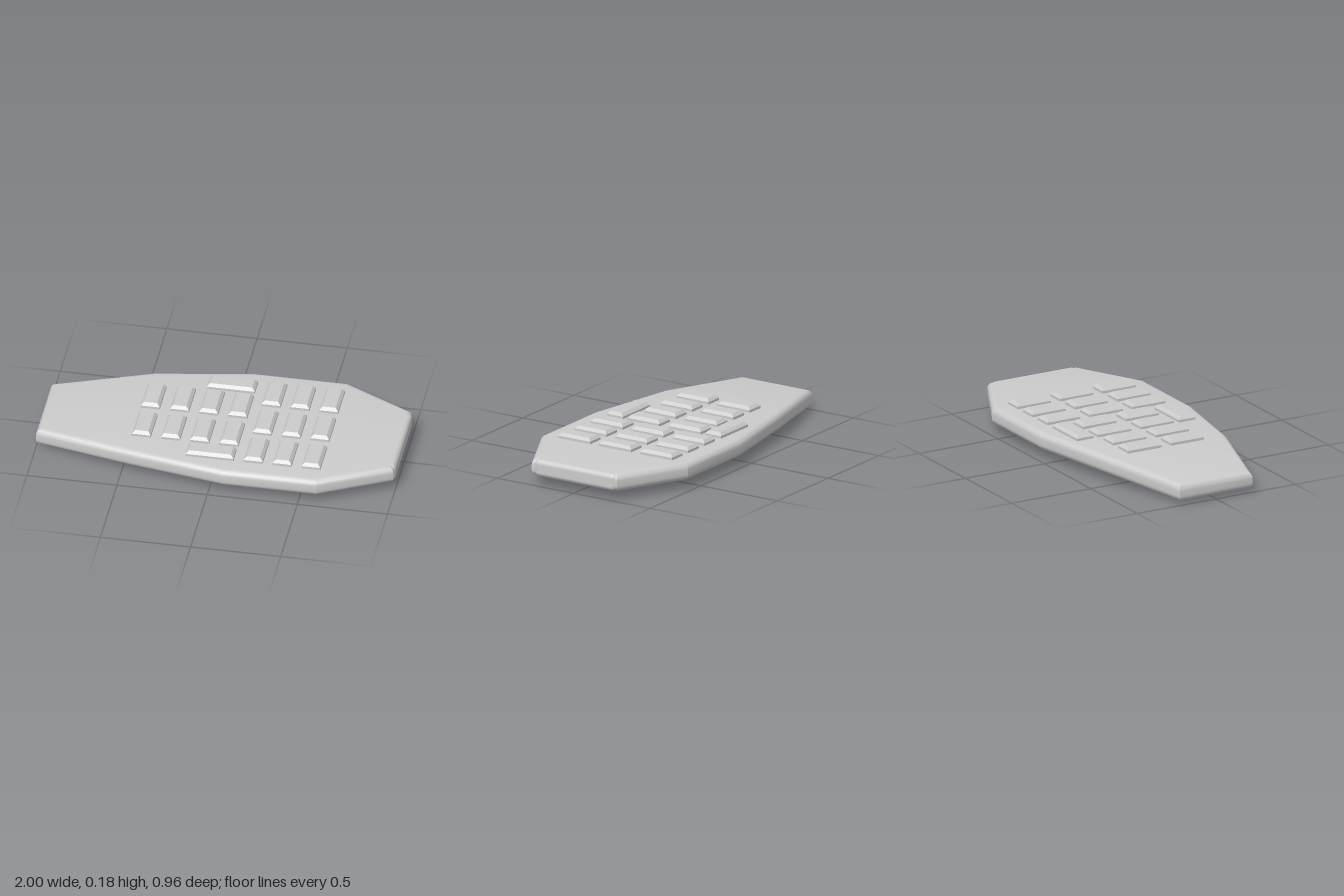
import * as THREE from 'three';
import { toCreasedNormals } from 'three/addons/utils/BufferGeometryUtils.js';
import { RoundedBoxGeometry } from 'three/addons/geometries/RoundedBoxGeometry.js';

const grey = new THREE.MeshStandardMaterial({ color: 0xcccccc });

function add(parent, name, geometry) {
  const mesh = new THREE.Mesh(geometry, grey);
  mesh.name = name;
  parent.add(mesh);
  return mesh;
}

// Half outline [x, z] mirrored across z = 0, as one counterclockwise loop
const mirrored = half => [...half, ...half.map(([x, z]) => [x, -z]).reverse()];

// Moves every side of a convex outline inwards by d, with mitred corners
function inset(outline, d) {
  const n = outline.length;
  const normal = (a, b) => {
    const dx = b[0] - a[0], dz = b[1] - a[1], l = Math.hypot(dx, dz);
    return [dz / l, -dx / l];
  };
  return outline.map((p, i) => {
    const a = normal(outline[(i + n - 1) % n], p);
    const b = normal(p, outline[(i + 1) % n]);
    const k = d / (1 + a[0] * b[0] + a[1] * b[1]);
    return [p[0] + (a[0] + b[0]) * k, p[1] + (a[1] + b[1]) * k];
  });
}

// Skins rings of [x, y, z] from bottom to top; caps run in strips between mirrored points
function loft(rings, crease) {
  const n = rings[0].length, index = [];
  const quad = (a, b, c, d) => index.push(a, b, c, a, c, d);
  for (let r = 0; r < rings.length - 1; r++) {
    for (let i = 0; i < n; i++) {
      const j = (i + 1) % n;
      quad(r * n + i, r * n + j, (r + 1) * n + j, (r + 1) * n + i);
    }
  }
  const top = (rings.length - 1) * n;
  for (let i = 0; i < n / 2 - 1; i++) {
    quad(top + i, top + i + 1, top + n - 2 - i, top + n - 1 - i);
    quad(n - 1 - i, n - 2 - i, i + 1, i);
  }
  const g = new THREE.BufferGeometry();
  g.setAttribute('position', new THREE.Float32BufferAttribute(rings.flat(2), 3));
  g.setIndex(index);
  return toCreasedNormals(g, crease);
}

// Rounded slab whose narrow end droops
function bodyGeometry() {
  const outline = mirrored([[-1, 0.23], [-0.46, 0.387], [0.08, 0.482], [0.6, 0.482], [0.993, 0.28]]);
  const r = 0.035, steps = 6, profile = [];
  for (let i = 0; i <= steps; i++) {
    const a = (i / steps) * Math.PI / 2;
    profile.push([r * (1 - Math.sin(a)), 0.05 + r * (1 - Math.cos(a))]);
  }
  profile.push(...profile.map(([d, y]) => [d, 0.2 - y]).reverse());
  const droop = x => Math.max(0, -0.46 - x) * 0.062;
  return loft(profile.map(([d, y]) => inset(outline, d).map(([x, z]) => [x, y - droop(x), z])), 0.4);
}

// Belly that flares out into the underside
function bellyGeometry() {
  const inner = mirrored([[-0.41, 0.12], [0.14, 0.28], [0.67, 0.2]]);
  const outer = mirrored([[-0.57, 0.15], [0.14, 0.37], [0.75, 0.31]]);
  const profile = [[0, 0], [0.18, 0.003], [0.35, 0.011], [0.6, 0.029], [0.82, 0.042], [1, 0.055]];
  return loft(profile.map(([t, y]) => inner.map(([x, z], i) =>
    [x + (outer[i][0] - x) * t, y, z + (outer[i][1] - z) * t])), 0.5);
}

// Key with straight sides and a chamfered top
function keyGeometry(w, d) {
  const outline = mirrored([[-w / 2, d / 2], [w / 2, d / 2]]);
  return loft([[0, 0.145], [0, 0.164], [0.016, 0.18]]
    .map(([k, y]) => inset(outline, k).map(([x, z]) => [x, y, z])), 0.3);
}

export function createModel() {
  const model = new THREE.Group();
  model.name = 'remoteControl';

  add(model, 'body', bodyGeometry());
  add(model, 'belly', bellyGeometry());

  // Signal window set in the wide end
  add(model, 'endWindow', new RoundedBoxGeometry(0.08, 0.0995, 0.53, 5, 0.028)).position.set(0.96, 0.1, 0);

  const keys = new THREE.Group();
  keys.name = 'keys';
  model.add(keys);
  const tall = keyGeometry(0.105, 0.21), wide = keyGeometry(0.265, 0.105);
  const place = (name, geometry, xs, zs) => {
    for (const x of xs) for (const z of zs) add(keys, name, geometry).position.set(x, 0, z);
  };
  place('numberKey', tall, [0.23, 0.39, 0.55], [-0.273, -0.005, 0.263]);
  place('functionKey', tall, [-0.415, -0.253, -0.092, 0.07], [-0.14, 0.13]);
  place('wideKey', wide, [-0.012], [-0.327, 0.317]);

  return model;
}
